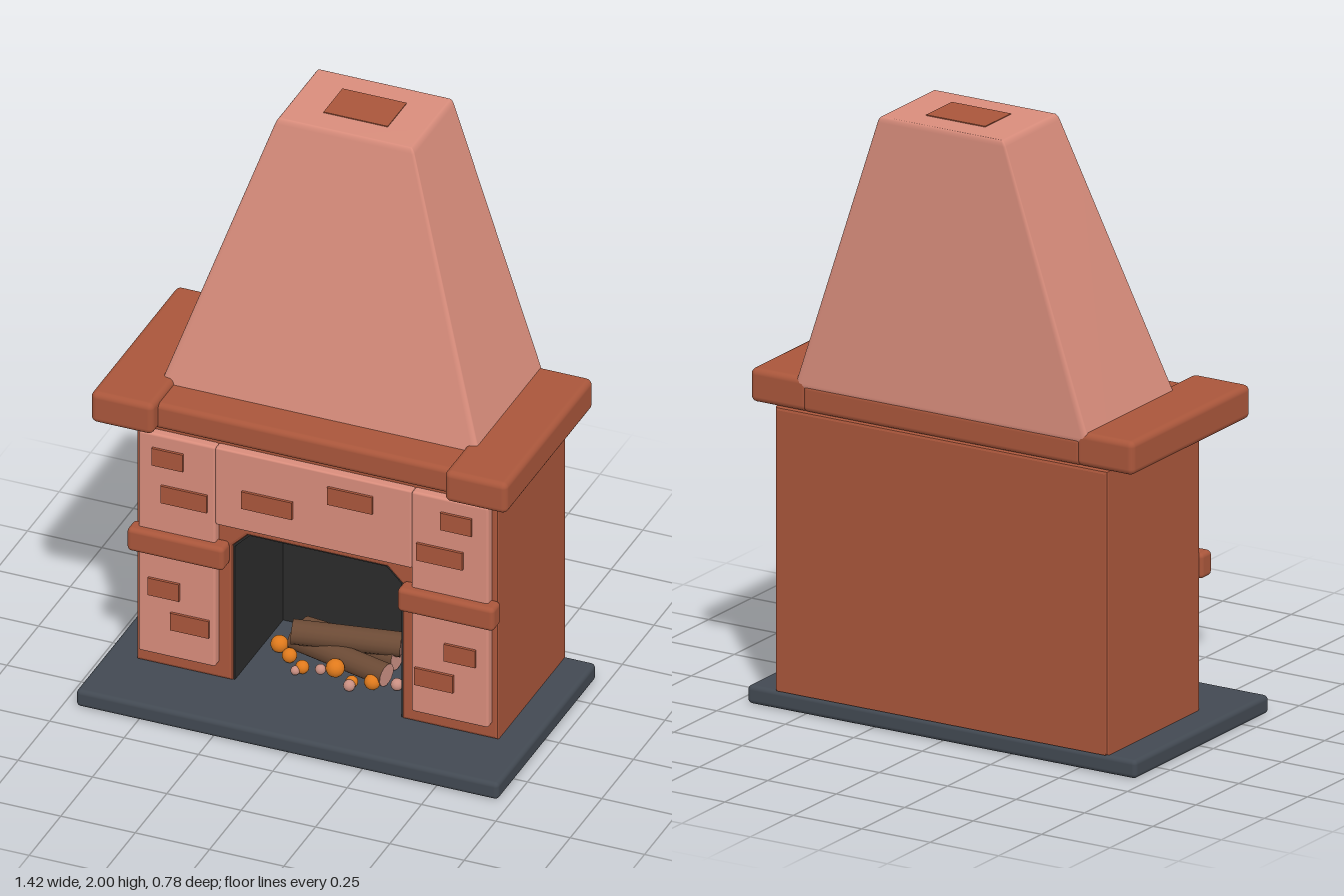
import * as THREE from 'three';
import { mergeVertices } from 'three/addons/utils/BufferGeometryUtils.js';
import { RoundedBoxGeometry } from 'three/addons/geometries/RoundedBoxGeometry.js';

const material = (name, color) => {
  const m = new THREE.MeshStandardMaterial({ color });
  m.name = name;
  return m;
};

export function createModel() {
  const brick = material('brick', 0xa9563b);
  const plaster = material('plaster', 0xd98d7c);
  const slate = material('slate', 0x424952);
  const soot = material('soot', 0x2b2b2b);
  const bark = material('bark', 0x6b4a35);
  const cutWood = material('cut wood', 0xc98f82);
  const ember = material('ember', 0xe07a1c);

  const model = new THREE.Group();
  model.name = 'fireplace';

  const add = (name, geometry, mat) => {
    const mesh = new THREE.Mesh(geometry, mat);
    mesh.name = name;
    model.add(mesh);
    return mesh;
  };
  // Box given by its limits on each axis; r rounds the edges
  const block = (name, mat, [x0, x1], [y0, y1], [z0, z1], r = 0) => {
    const size = [x1 - x0, y1 - y0, z1 - z0];
    const g = r ? new RoundedBoxGeometry(...size, 3, r) : new THREE.BoxGeometry(...size);
    g.translate((x0 + x1) / 2, (y0 + y1) / 2, (z0 + z1) / 2);
    return add(name, g, mat);
  };
  const points = (list) => list.map(([x, y]) => new THREE.Vector2(x, y));
  // Outline of the fire opening with chamfered top corners
  const opening = (w, top, c) => [[-w, 0.06], [-w, top - c], [-w + c, top], [w - c, top], [w, top - c], [w, 0.06]];

  // Hearth slab
  block('hearthSlab', slate, [-0.71, 0.71], [0, 0.06], [-0.39, 0.39], 0.015);

  // Brick body with the opening cut out from below
  const bodyShape = new THREE.Shape(points([
    [0.608, 0.06], [0.608, 0.985], [-0.608, 0.985], [-0.608, 0.06], ...opening(0.285, 0.6, 0.05)]));
  const body = new THREE.ExtrudeGeometry(bodyShape, {
    depth: 0.52, bevelThickness: 0.01, bevelSize: 0.01, bevelOffset: -0.01, bevelSegments: 2 });
  body.translate(0, 0, -0.38);
  add('brickBody', body, brick);
  block('backWall', brick, [-0.6, 0.6], [0.06, 0.975], [-0.39, -0.25]);

  // Sooty firebox lining
  const outer = opening(0.286, 0.601, 0.05);
  const inner = opening(0.28, 0.595, 0.05);
  const lining = new THREE.ExtrudeGeometry(new THREE.Shape(points([...outer, ...inner.reverse()])),
    { depth: 0.39, bevelEnabled: false });
  lining.translate(0, 0, -0.25);
  add('fireboxLining', lining, soot);
  block('fireboxBack', soot, [-0.284, 0.284], [0.06, 0.599], [-0.255, -0.24]);

  // Plaster facing and pillar bands
  block('lintelPanel', plaster, [-0.33, 0.33], [0.635, 0.915], [0.13, 0.18], 0.006);
  for (const [side, s] of [['left', 1], ['right', -1]]) {
    const span = (a, b) => (s > 0 ? [a, b] : [-b, -a]);
    block(side + 'PillarPanel', plaster, span(0.33, 0.588), [0.115, 0.915], [0.13, 0.18], 0.008);
    block(side + 'PillarBand', brick, span(0.292, 0.617), [0.485, 0.568], [0.145, 0.208], 0.015);
    block(side + 'MantelEnd', brick, span(0.49, 0.7), [0.985, 1.095], [-0.39, 0.3], 0.02);
  }
  block('mantelShelf', brick, [-0.51, 0.51], [0.985, 1.076], [-0.39, 0.255], 0.018);

  // Exposed bricks: left edge, bottom edge, width
  const exposed = [
    [-0.54, 0.805, 0.105], [-0.51, 0.675, 0.155], [-0.238, 0.72, 0.17], [0.05, 0.805, 0.152],
    [0.43, 0.805, 0.105], [0.35, 0.675, 0.155], [-0.553, 0.33, 0.105], [-0.478, 0.22, 0.13],
    [0.443, 0.33, 0.105], [0.343, 0.22, 0.13]];
  exposed.forEach(([x, y, w], i) =>
    block('exposedBrick' + (i + 1), brick, [x, x + w], [y, y + 0.062], [0.181, 0.19]));

  // Tapered hood: a rounded box narrowed towards the top, with a flat back
  let hood = new RoundedBoxGeometry(1, 0.94, 1, 3, 0.02);
  hood.deleteAttribute('normal');
  hood.deleteAttribute('uv');
  hood = mergeVertices(hood, 1e-5);
  const p = hood.attributes.position;
  for (let i = 0; i < p.count; i++) {
    const t = p.getY(i) / 0.94 + 0.5;
    p.setXYZ(i,
      p.getX(i) * THREE.MathUtils.lerp(1.08, 0.455, t),
      p.getY(i) + 1.527,
      (p.getZ(i) + 0.5) * THREE.MathUtils.lerp(0.525, 0.32, t) - 0.39);
  }
  hood.computeVertexNormals();
  add('hood', hood, plaster);
  block('flueOpening', brick, [-0.108, 0.108], [1.992, 2], [-0.305, -0.155]);

  // Logs between two points, with pale cut ends
  const log = (name, a, b, r) => {
    const from = new THREE.Vector3(...a), to = new THREE.Vector3(...b);
    const g = new THREE.CylinderGeometry(r, r, from.distanceTo(to), 14);
    const mesh = add(name, g, [bark, cutWood, cutWood]);
    mesh.position.copy(from).lerp(to, 0.5);
    mesh.quaternion.setFromUnitVectors(new THREE.Vector3(0, 1, 0), to.sub(from).normalize());
  };
  log('backLog', [-0.17, 0.105, -0.15], [0.16, 0.105, -0.11], 0.042);
  log('frontLog', [-0.17, 0.12, -0.07], [0.17, 0.105, 0.0], 0.038);
  log('topLog', [-0.16, 0.167, -0.03], [0.17, 0.148, -0.12], 0.04);

  // Glowing embers and pale ash lumps: x, y, z, radius
  const lumps = (name, mat, list) => list.forEach(([x, y, z, r], i) =>
    add(name + (i + 1), new THREE.IcosahedronGeometry(r, 2), mat).position.set(x, y, z));
  lumps('ember', ember, [
    [-0.22, 0.085, -0.07, 0.028], [-0.165, 0.085, -0.02, 0.024], [-0.105, 0.08, 0.02, 0.022],
    [0.01, 0.11, 0.03, 0.03], [0.07, 0.08, 0.04, 0.02], [0.135, 0.09, 0.03, 0.026]]);
  lumps('ashLump', cutWood, [
    [-0.035, 0.1, 0.04, 0.017], [0.07, 0.078, 0.06, 0.019], [0.205, 0.08, 0, 0.02],
    [-0.12, 0.075, 0.04, 0.015]]);

  return model;
}
